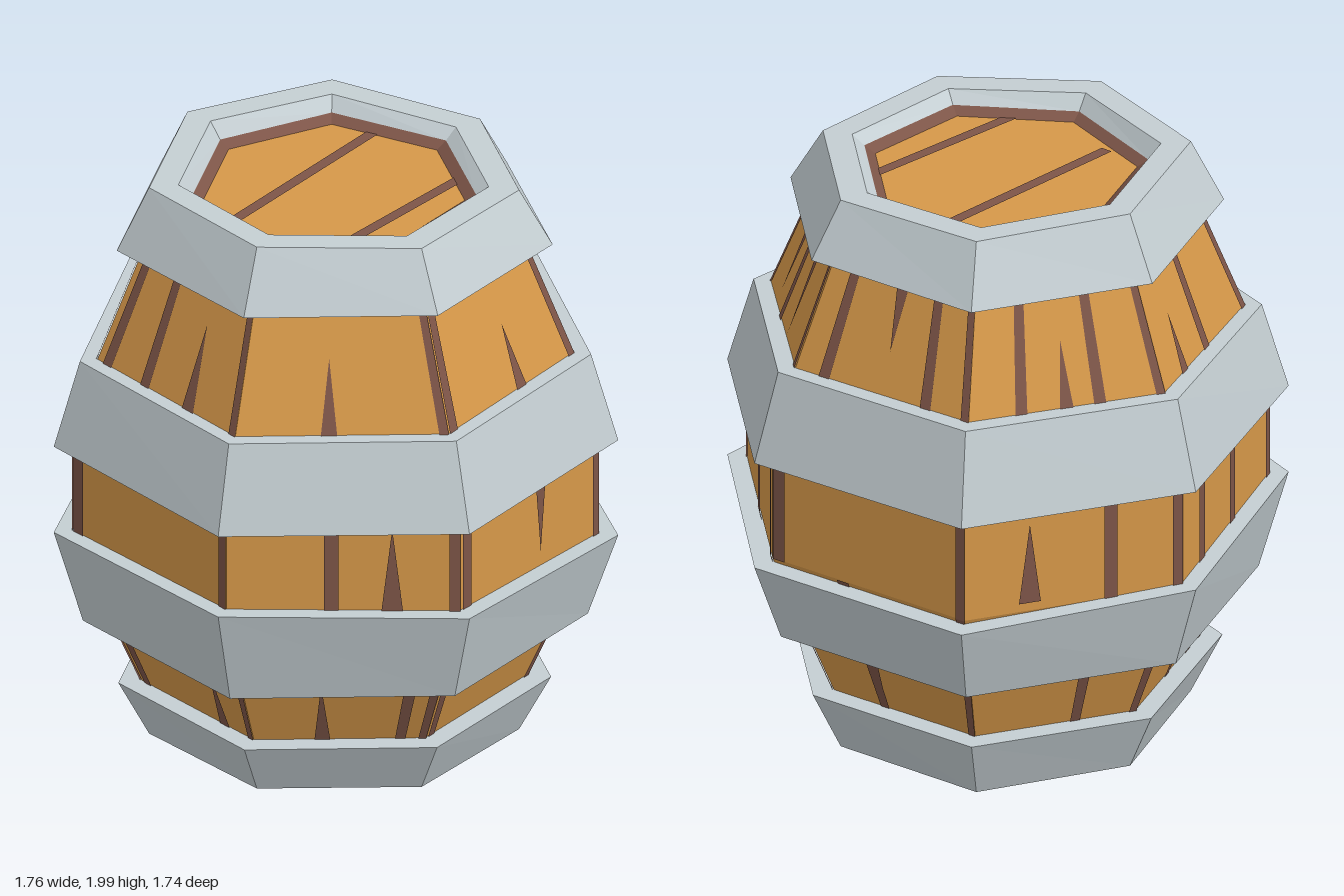
import * as THREE from 'three';

const wood = new THREE.MeshStandardMaterial({ color: 0xd69849, flatShading: true });
const darkWood = new THREE.MeshStandardMaterial({ color: 0x7d5548, flatShading: true, side: THREE.DoubleSide });
const metal = new THREE.MeshStandardMaterial({ color: 0xc4ced2, flatShading: true });

// Slightly uneven seven-sided outline (x, z), shared by every part
const outline = [[.13, .985], [-.71, .72], [-.99, -.145], [-.53, -.895], [.37, -.95], [.97, -.365], [.88, .505]];
const corner = i => outline[i % outline.length];

function makeMesh(name, positions, material) {
  const geometry = new THREE.BufferGeometry();
  geometry.setAttribute('position', new THREE.Float32BufferAttribute(positions, 3));
  geometry.computeVertexNormals();
  const mesh = new THREE.Mesh(geometry, material);
  mesh.name = name;
  return mesh;
}

function pushQuad(out, a, b, c, d) {
  out.push(...a, ...d, ...c, ...a, ...c, ...b);
}

// Sweeps a profile of [radius, y, tilt along x, tilt along z] round the outline
function loft(name, profile, material) {
  const out = [];
  const point = (i, [r, y, tx = 0, tz = 0]) => {
    const [x, z] = corner(i);
    return [x * r, y + tx * x * r + tz * z * r, z * r];
  };
  for (let j = 0; j < profile.length - 1; j++) {
    for (let i = 0; i < outline.length; i++) {
      pushQuad(out, point(i, profile[j]), point(i + 1, profile[j]),
        point(i + 1, profile[j + 1]), point(i, profile[j + 1]));
    }
  }
  return makeMesh(name, out, material);
}

// Barrel side: straight middle, tapering to both ends
const side = [[.56, .09], [.835, .75], [.835, 1.2], [.556, 1.91]];
function bodyRadius(y) {
  for (let j = 0; j < side.length - 1; j++) {
    const [r0, y0] = side[j], [r1, y1] = side[j + 1];
    if (y <= y1) return r0 + (r1 - r0) * (y - y0) / (y1 - y0);
  }
  return side[side.length - 1][0];
}

// Point on a side face, just proud of the wood; t runs across the face
function onFace(face, t, y) {
  const [x0, z0] = corner(face), [x1, z1] = corner(face + 1);
  const r = bodyRadius(y) + .005;
  return [(x0 + (x1 - x0) * t) * r, y, (z0 + (z1 - z0) * t) * r];
}

function plankMarks() {
  const out = [];
  const mark = (face, yLow, a, b, yHigh, c, d) =>
    pushQuad(out, onFace(face, a, yLow), onFace(face, b, yLow), onFace(face, d, yHigh), onFace(face, c, yHigh));
  const bands = [[.15, .75], [.75, 1.2], [1.2, 1.85]];

  // Gaps between planks: one at each corner, more within the faces
  const gaps = [
    [[.9], [.93], [.89, .62]],
    [[.5], [.4, .75], [.45]],
    [[.35], [.3], [.3, .7]],
    [[.6], [.93], [.22, .8]],
    [[.4], [.45], [.55]],
    [[.92], [.92], [.93]],
    [[.12], [.52], []],
  ];
  gaps.forEach((face, i) => bands.forEach(([y0, y1], b) => {
    mark(i, y0, 0, .045, y1, 0, .045);
    face[b].forEach(t => mark(i, y0, t, t + .06, y1, t, t + .06));
  }));

  // Tapering cracks: face, wide end y, centre t, tip y
  const cracks = [
    [0, 1.3, .34, 1.66], [0, .18, .25, .46], [1, 1.3, .75, 1.6], [1, .18, .2, .45],
    [2, 1.3, .5, 1.62], [2, .78, .7, 1.06], [3, 1.8, .5, 1.55], [3, .7, .6, .3],
    [4, 1.8, .35, 1.42], [4, 1.8, .75, 1.45], [4, .7, .7, .25], [5, 1.3, .42, 1.6],
    [5, 1.18, .42, .82], [6, 1.3, .56, 1.62], [6, .76, .29, 1.08], [6, .2, .6, .46],
  ];
  for (const [face, y, t, tip] of cracks) mark(face, y, t - .05, t + .05, tip, t, t);
  return makeMesh('plankGapsAndCracks', out, darkWood);
}

// Two dark seams across a lid
function lidSeams(name, y) {
  const out = [];
  for (const [x0, z0, x1, z1] of [[-.08, -.39, -.15, .33], [.32, -.27, .23, .32]]) {
    pushQuad(out, [x0 - .02, y, z0], [x0 + .02, y, z0], [x1 + .02, y, z1], [x1 - .02, y, z1]);
  }
  return makeMesh(name, out, darkWood);
}

export function createModel() {
  const group = new THREE.Group();
  group.name = 'barrel';

  // Wooden body with flat lids
  group.add(loft('body', [[0, .09], ...side, [0, 1.91]], wood));
  group.add(plankMarks());
  group.add(lidSeams('topLidSeams', 1.914), lidSeams('bottomLidSeams', .086));
  group.add(loft('topLidEdge', [[.47, 1.945], [.42, 1.912]], darkWood));
  group.add(loft('bottomLidEdge', [[.42, .088], [.47, .055]], darkWood));

  // Metal hoops, each a closed and slightly tilted ring
  const hoops = {
    topHoop: [[.695, 1.78], [.59, 1.98, -.02, .012], [.495, 1.98, -.02, .012], [.455, 1.935], [.455, 1.78]],
    upperHoop: [[.9, 1.1, -.01, -.01], [.815, 1.4, -.012, -.018], [.73, 1.4, -.012, -.018], [.73, 1.1, -.01, -.01]],
    lowerHoop: [[.805, .46], [.9, .765, 0, .04], [.8, .765, 0, .04], [.7, .46]],
    bottomHoop: [[.455, .065], [.495, .02, .01, .02], [.59, .02, .01, .02], [.69, .22], [.58, .22], [.455, .22]],
  };
  for (const [name, profile] of Object.entries(hoops)) {
    group.add(loft(name, [...profile, profile[0]], metal));
  }
  return group;
}
